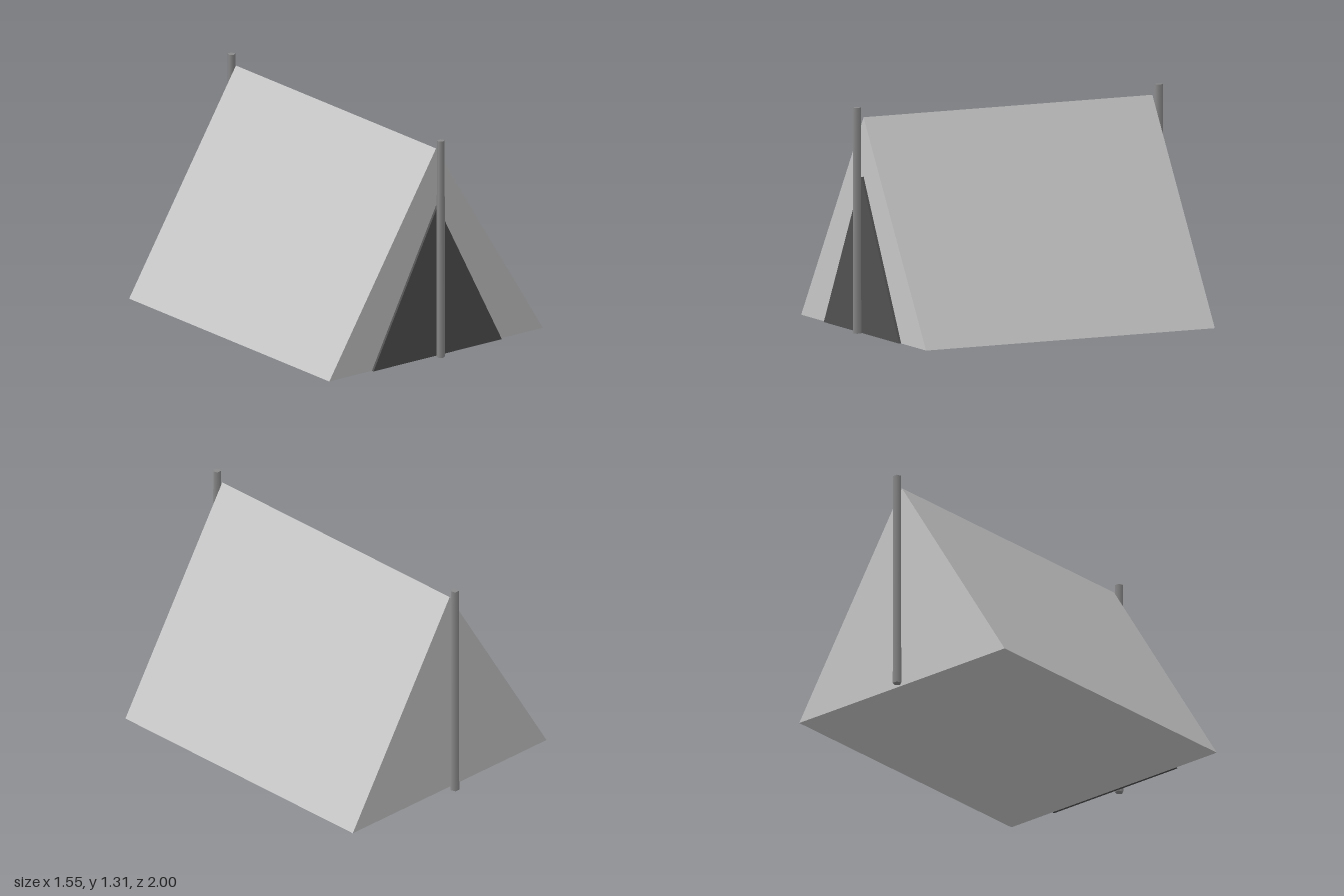
import * as THREE from 'three';

const mat = (name, color) => {
  const m = new THREE.MeshStandardMaterial({ color });
  m.name = name;
  return m;
};

// Triangular prism standing on y = 0, running from z0 to z1
function prism(name, halfWidth, height, z0, z1, material) {
  const shape = new THREE.Shape();
  shape.moveTo(-halfWidth, 0);
  shape.lineTo(halfWidth, 0);
  shape.lineTo(0, height);
  shape.closePath();
  const geometry = new THREE.ExtrudeGeometry(shape, { depth: z1 - z0, bevelEnabled: false });
  geometry.translate(0, 0, z0);
  const mesh = new THREE.Mesh(geometry, material);
  mesh.name = name;
  return mesh;
}

export function createModel() {
  const canvas = mat('light grey canvas', 0xc6c6c6);
  const opening = mat('dark grey opening', 0x515151);
  const wood = mat('mid grey pole', 0x8a8a8a);

  const tent = new THREE.Group();
  tent.name = 'tent';

  // Closed canvas body and the dark entrance on its front
  tent.add(prism('canvasBody', 0.777, 1.25, -0.937, 0.93, canvas));
  tent.add(prism('entrance', 0.467, 0.905, 0.93, 0.945, opening));

  // Slightly tapered five-sided poles, one at each end
  const poleHeight = 1.31;
  const poleGeometry = new THREE.CylinderGeometry(0.0235, 0.026, poleHeight, 5);
  for (const [name, z] of [['frontPole', 0.974], ['backPole', -0.979]]) {
    const pole = new THREE.Mesh(poleGeometry, wood);
    pole.name = name;
    pole.position.set(0, poleHeight / 2, z);
    tent.add(pole);
  }
  return tent;
}
